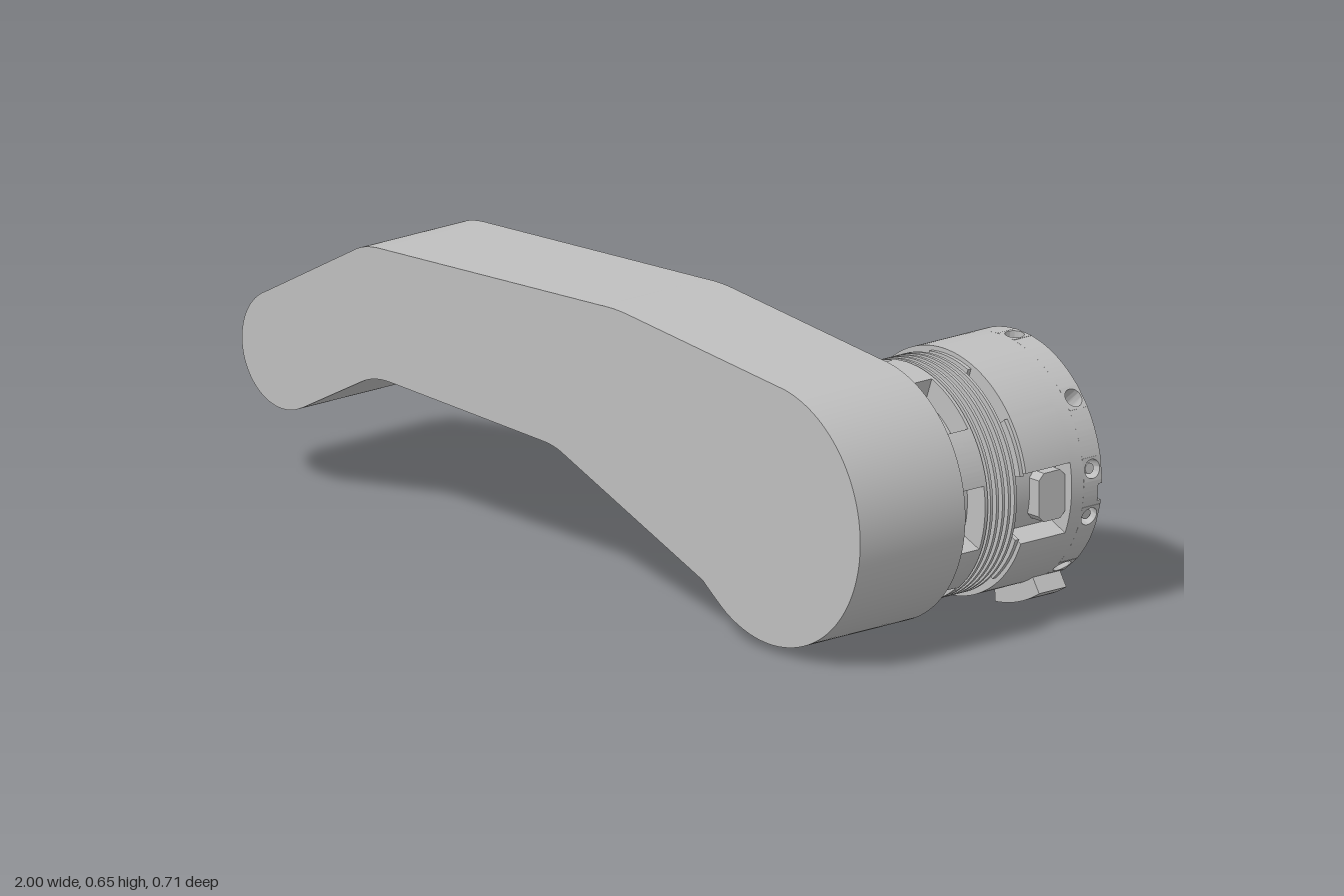
import * as THREE from 'three';
import { toCreasedNormals } from 'three/addons/utils/BufferGeometryUtils.js';

const rad = THREE.MathUtils.degToRad;

export function createModel() {
  const model = new THREE.Group();
  const grey = new THREE.MeshStandardMaterial({ color: 0xbfbfbf });
  grey.name = 'plain grey';

  const add = (parent, name, geometry) => {
    const mesh = new THREE.Mesh(toCreasedNormals(geometry, rad(25)), grey);
    mesh.name = name;
    parent.add(mesh);
    return mesh;
  };

  // Extrude a shape between two z positions
  const slab = (shape, zBack, zFront) => new THREE.ExtrudeGeometry(shape, {
    depth: zFront - zBack, bevelEnabled: false, curveSegments: 32,
  }).translate(0, 0, zBack);

  // Disc on the z axis
  const disc = (r, zBack, zFront) => new THREE.CylinderGeometry(r, r, zFront - zBack, 96)
    .rotateX(Math.PI / 2).translate(0, 0, (zBack + zFront) / 2);

  // Part of a thick ring, angles in degrees
  const sector = (a0, a1, rIn, rOut, zBack, zFront) => {
    const s = new THREE.Shape();
    s.absarc(0, 0, rOut, rad(a0), rad(a1), false);
    s.absarc(0, 0, rIn, rad(a1), rad(a0), true);
    s.closePath();
    return slab(s, zBack, zFront);
  };

  // Ring interrupted by sorted angular gaps
  const gappedRing = (parent, name, gaps, rIn, rOut, zBack, zFront) => {
    gaps.forEach((gap, i) => {
      const next = i + 1 < gaps.length ? gaps[i + 1][0] : gaps[0][0] + 360;
      add(parent, name, sector(gap[1], next, rIn, rOut, zBack, zFront));
    });
  };

  // Curved handle lever
  const lever = new THREE.Shape();
  lever.moveTo(-0.93, 0.43);
  lever.lineTo(-0.63, 0.595);
  lever.quadraticCurveTo(-0.6, 0.611, -0.55, 0.613);
  lever.lineTo(0.16, 0.649);
  lever.quadraticCurveTo(0.21, 0.653, 0.26, 0.647);
  lever.lineTo(0.74, 0.598);
  lever.absarc(0.71, 0.31, 0.29, rad(84), rad(-120), true);
  lever.quadraticCurveTo(0.535, 0.078, 0.49, 0.113);
  lever.lineTo(0.04, 0.291);
  lever.quadraticCurveTo(0.01, 0.304, -0.03, 0.305);
  lever.lineTo(-0.52, 0.323);
  lever.quadraticCurveTo(-0.57, 0.325, -0.61, 0.305);
  lever.lineTo(-0.808, 0.2);
  lever.absarc(-0.87, 0.315, 0.13, rad(-62), rad(-242), true);
  add(model, 'lever', slab(lever, 0.06, 0.357));

  const hub = new THREE.Group();
  hub.name = 'hub';
  hub.position.set(0.71, 0.31, 0);
  model.add(hub);

  // Inner core and neck with six windows
  add(hub, 'neckCore', disc(0.205, -0.03, 0.06));
  add(hub, 'neckFrontRim', disc(0.262, 0.052, 0.06));
  add(hub, 'neckBackRim', disc(0.262, -0.028, -0.02));
  const windows = [-66, -6, 54, 114, 174, 234].map((a) => [a - 16, a + 16]);
  gappedRing(hub, 'neckPost', windows, 0.19, 0.262, -0.02, 0.052);

  // Finned bellows
  add(hub, 'bellowsCore', disc(0.242, -0.124, -0.028));
  for (let i = 0; i < 5; i++) {
    const z = -0.039 - i * 0.0168;
    add(hub, 'bellowsFin', disc(0.262, z - 0.0035, z + 0.0035));
  }
  gappedRing(hub, 'bellowsEndRing', windows, 0.2, 0.262, -0.132, -0.122);

  // Drum with a socket recess on each side
  add(hub, 'drumCore', disc(0.222, -0.341, -0.12));
  gappedRing(hub, 'drumWall', [[-23, 11.3], [157, 199]], 0.21, 0.272, -0.256, -0.131);
  add(hub, 'drumBand', disc(0.272, -0.29, -0.256));

  // Drum rim with radial holes and one notch
  const holes = [-50.5, -17, 6, 39.5, 86, 131, 176, 221, 266];
  const notch = [-9.5, -1.5];
  const gaps = holes.map((a) => [a - 5.5, a + 5.5]).concat([notch]).sort((a, b) => a[0] - b[0]);
  gappedRing(hub, 'drumRim', gaps, 0.21, 0.272, -0.341, -0.29);
  add(hub, 'notchFloor', sector(...notch, 0.21, 0.272, -0.331, -0.29));
  const tile = new THREE.Shape();
  tile.moveTo(-0.0255, -0.0262);
  tile.lineTo(0.0255, -0.0262);
  tile.lineTo(0.0255, 0.0262);
  tile.lineTo(-0.0255, 0.0262);
  tile.closePath();
  const bore = new THREE.Path();
  bore.absarc(0, 0, 0.021, 0, Math.PI * 2, true);
  tile.holes.push(bore);
  for (const a of holes) {
    add(hub, 'screwHole', slab(tile, 0.215, 0.2715).rotateY(Math.PI / 2)
      .translate(0, 0, -0.3155).rotateZ(rad(a)));
  }
  for (const a of [-17, 6]) {
    add(hub, 'setScrew', new THREE.CylinderGeometry(0.012, 0.012, 0.045, 16)
      .rotateZ(Math.PI / 2).translate(0.24, 0, -0.3155).rotateZ(rad(a)));
  }

  // Stepped end cap
  add(hub, 'capRing', disc(0.199, -0.346, -0.34));
  add(hub, 'capDisc', disc(0.146, -0.357, -0.345));

  // Chamfered socket block in the left recess
  const block = new THREE.Shape();
  const w = 0.037, h = 0.054, c = 0.014;
  [[-w + c, -h], [w - c, -h], [w, -h + c], [w, h - c], [w - c, h], [-w + c, h], [-w, h - c], [-w, -h + c]]
    .forEach(([x, y], i) => (i ? block.lineTo(x, y) : block.moveTo(x, y)));
  block.closePath();
  add(hub, 'socketBlock', slab(block, 0.2, 0.252).rotateY(Math.PI / 2).translate(0, -0.016, -0.218));

  // Plug pins in the right recess
  for (const y of [-0.035, 0.035]) {
    const pin = (name, r, x0, x1) => add(hub, name, new THREE.CylinderGeometry(r, r, x1 - x0, 20)
      .rotateZ(Math.PI / 2).translate((x0 + x1) / 2, y, -0.215));
    pin('plugStem', 0.009, -0.345, -0.2);
    pin('plugCollar', 0.021, -0.29, -0.2);
  }

  // Curved stop tab below the drum
  add(hub, 'stopTab', sector(-85, -57, 0.25, 0.31, -0.331, -0.254));

  return model;
}
